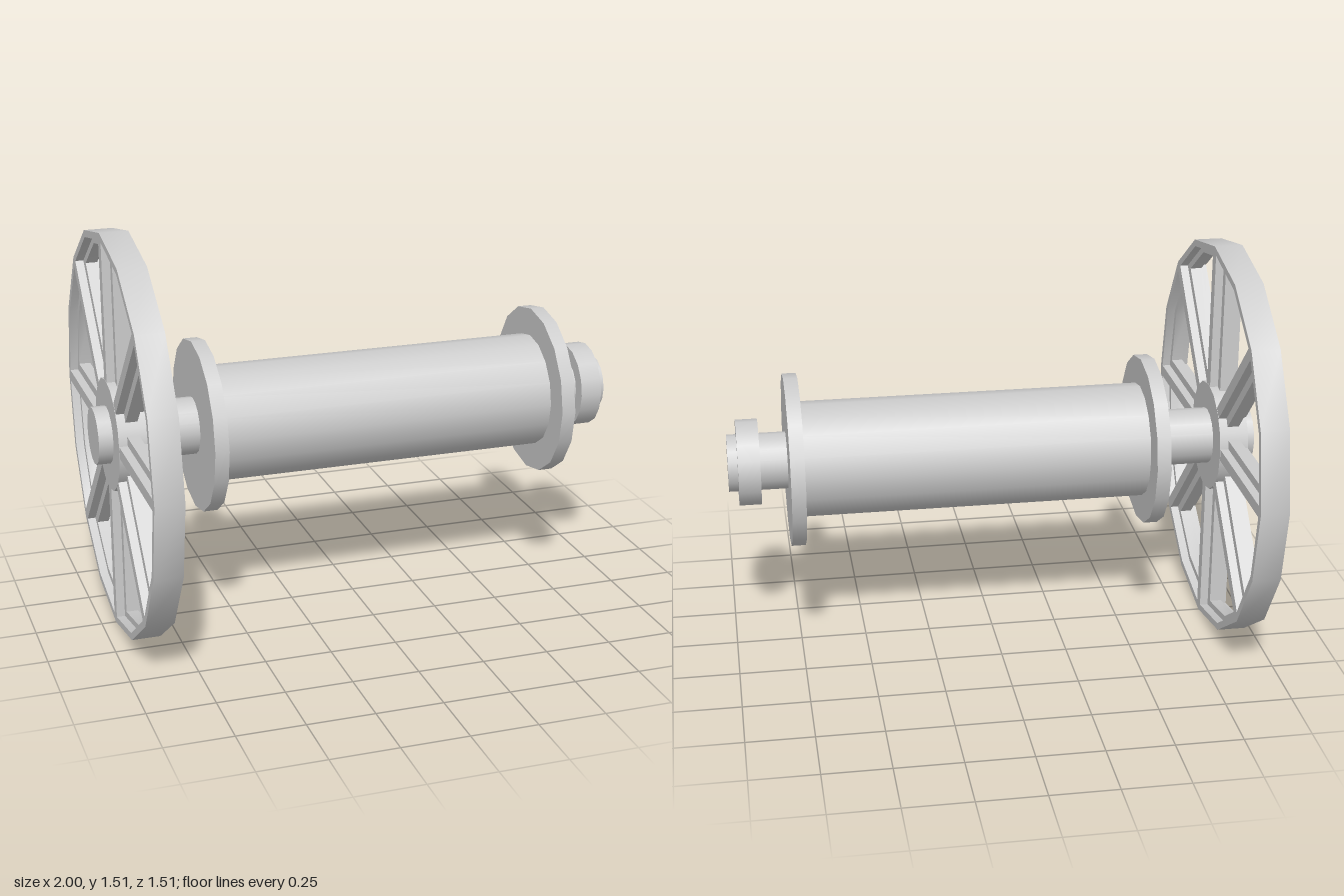
import * as THREE from 'three';
import { toCreasedNormals } from 'three/addons/utils/BufferGeometryUtils.js';

const AXIS_Y = 0.757;
const SIDES = 16;
const WHEEL_RADIUS = 0.757;
const WHEEL_X = -0.893;

const material = new THREE.MeshStandardMaterial({ color: 0xcccccc });

function addMesh(group, name, geometry) {
  const mesh = new THREE.Mesh(geometry, material);
  mesh.name = name;
  group.add(mesh);
}

// A round part lying along the x axis, from x0 to x1
function addDisc(group, name, radius, x0, x1) {
  const geometry = new THREE.CylinderGeometry(radius, radius, x1 - x0, SIDES);
  geometry.rotateZ(Math.PI / 2);
  geometry.translate((x0 + x1) / 2, 0, 0);
  addMesh(group, name, geometry);
}

// A sixteen-sided plate with eight openings that leave spokes and a rim
function wheelLayer(outerRadius, innerRadius, spokeHalfWidth, depth) {
  const shape = new THREE.Shape();
  const rim = [];
  for (let i = 0; i < SIDES; i++) {
    const a = (i / SIDES) * Math.PI * 2;
    rim.push(new THREE.Vector2(outerRadius * Math.cos(a), outerRadius * Math.sin(a)));
  }
  shape.setFromPoints(rim);

  const mid = Math.PI / 8;
  const h = spokeHalfWidth;
  const reach = innerRadius - h * Math.tan(mid / 2);
  const origin = new THREE.Vector2();
  // One opening, measured from the middle line between two spokes
  const corner = new THREE.Vector2(reach, h).rotateAround(origin, -mid);
  const opening = [
    new THREE.Vector2(h / Math.sin(mid), 0),
    corner,
    new THREE.Vector2(innerRadius, 0),
    new THREE.Vector2(corner.x, -corner.y),
  ];
  for (let i = 0; i < 8; i++) {
    const angle = mid + (i * Math.PI) / 4;
    shape.holes.push(new THREE.Path(opening.map((p) => p.clone().rotateAround(origin, angle))));
  }

  const geometry = new THREE.ExtrudeGeometry(shape, { depth, bevelEnabled: false });
  geometry.translate(0, 0, -depth / 2);
  geometry.rotateY(Math.PI / 2);
  geometry.translate(WHEEL_X, 0, 0);
  return toCreasedNormals(geometry, 0.5);
}

export function createModel() {
  const model = new THREE.Group();
  model.name = 'spokedWheelSpool';

  const assembly = new THREE.Group();
  assembly.name = 'axleAssembly';
  assembly.position.y = AXIS_Y;
  model.add(assembly);

  // Axle and the spool it carries
  addDisc(assembly, 'axle', 0.107, -1, 1);
  addDisc(assembly, 'barrel', 0.217, -0.6, 0.75);
  addDisc(assembly, 'wheelSideFlange', 0.324, -0.624, -0.571);
  addDisc(assembly, 'endFlange', 0.324, 0.727, 0.78);
  addDisc(assembly, 'endCollar', 0.161, 0.882, 0.964);

  // Wheel: deep ribs and rim, with a thin wider web through the middle
  const wheel = new THREE.Group();
  wheel.name = 'wheel';
  assembly.add(wheel);
  addMesh(wheel, 'rimAndRibs', wheelLayer(WHEEL_RADIUS, 0.731, 0.022, 0.106));
  addMesh(wheel, 'web', wheelLayer(0.745, 0.706, 0.055, 0.044));
  addDisc(wheel, 'hub', 0.21, WHEEL_X - 0.054, WHEEL_X + 0.054);

  return model;
}
